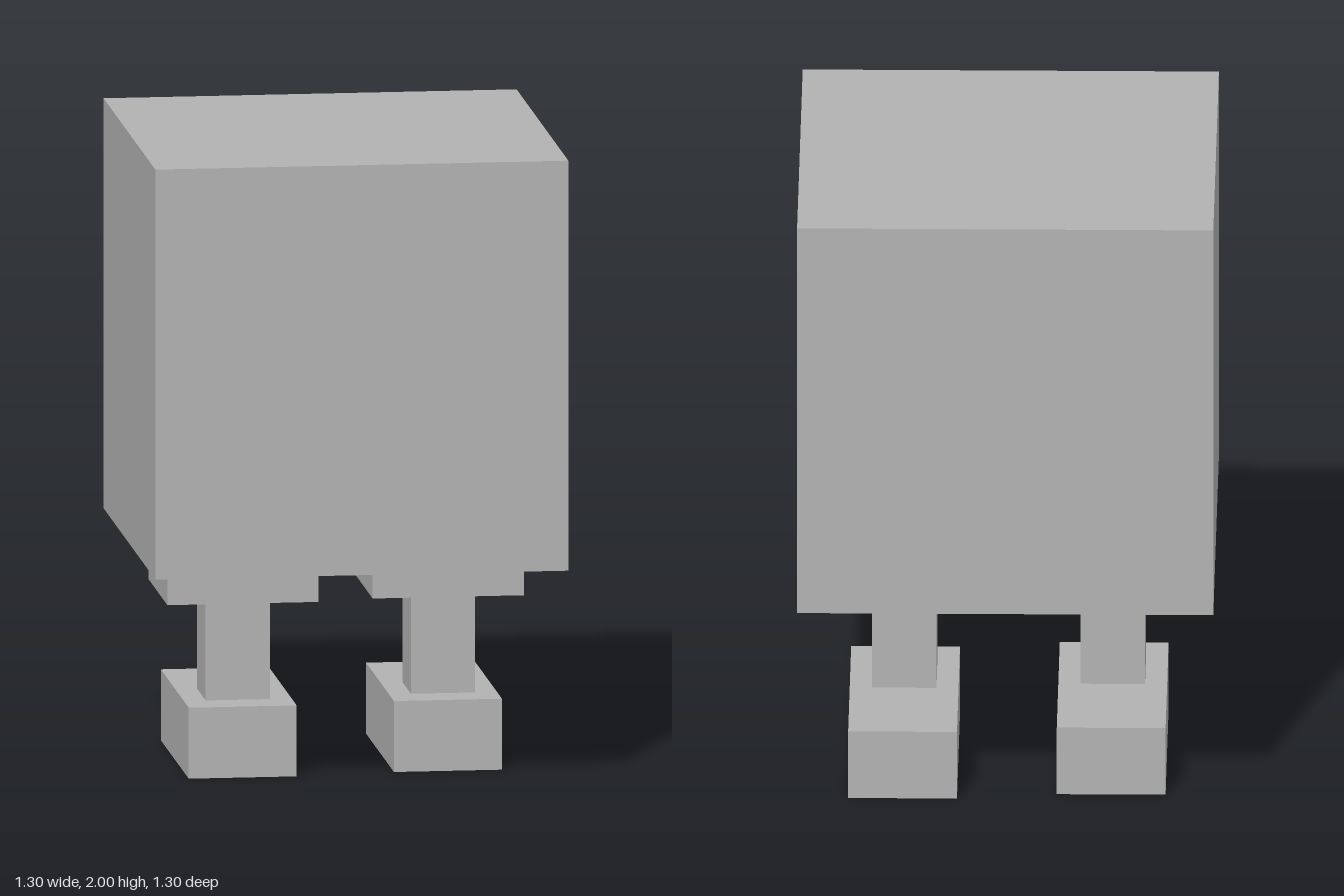
import * as THREE from 'three';

export function createModel() {
  const model = new THREE.Group();
  const grey = new THREE.MeshStandardMaterial({ color: 0xb2b2b2 });
  grey.name = 'grey';

  // Box given by its size, its bottom height and its depth offset
  function box(parent, name, [w, h, d], bottom, z = 0) {
    const mesh = new THREE.Mesh(new THREE.BoxGeometry(w, h, d), grey);
    mesh.name = name;
    mesh.position.set(0, bottom + h / 2, z);
    parent.add(mesh);
  }

  // Cube body
  box(model, 'body', [1.3, 1.3, 1.3], 0.7);

  // Legs: hip plate, shin and a long foot; the right leg stands slightly forward
  function leg(name, x, z) {
    const group = new THREE.Group();
    group.name = name;
    group.position.set(x, 0, z);
    box(group, 'hip', [0.476, 0.147, 0.48], 0.553);
    box(group, 'shin', [0.202, 0.328, 0.216], 0.225);
    box(group, 'foot', [0.34, 0.225, 0.7], 0, -0.118);
    model.add(group);
  }
  leg('leftLeg', 0.323, 0.002);
  leg('rightLeg', -0.328, 0.042);

  return model;
}
